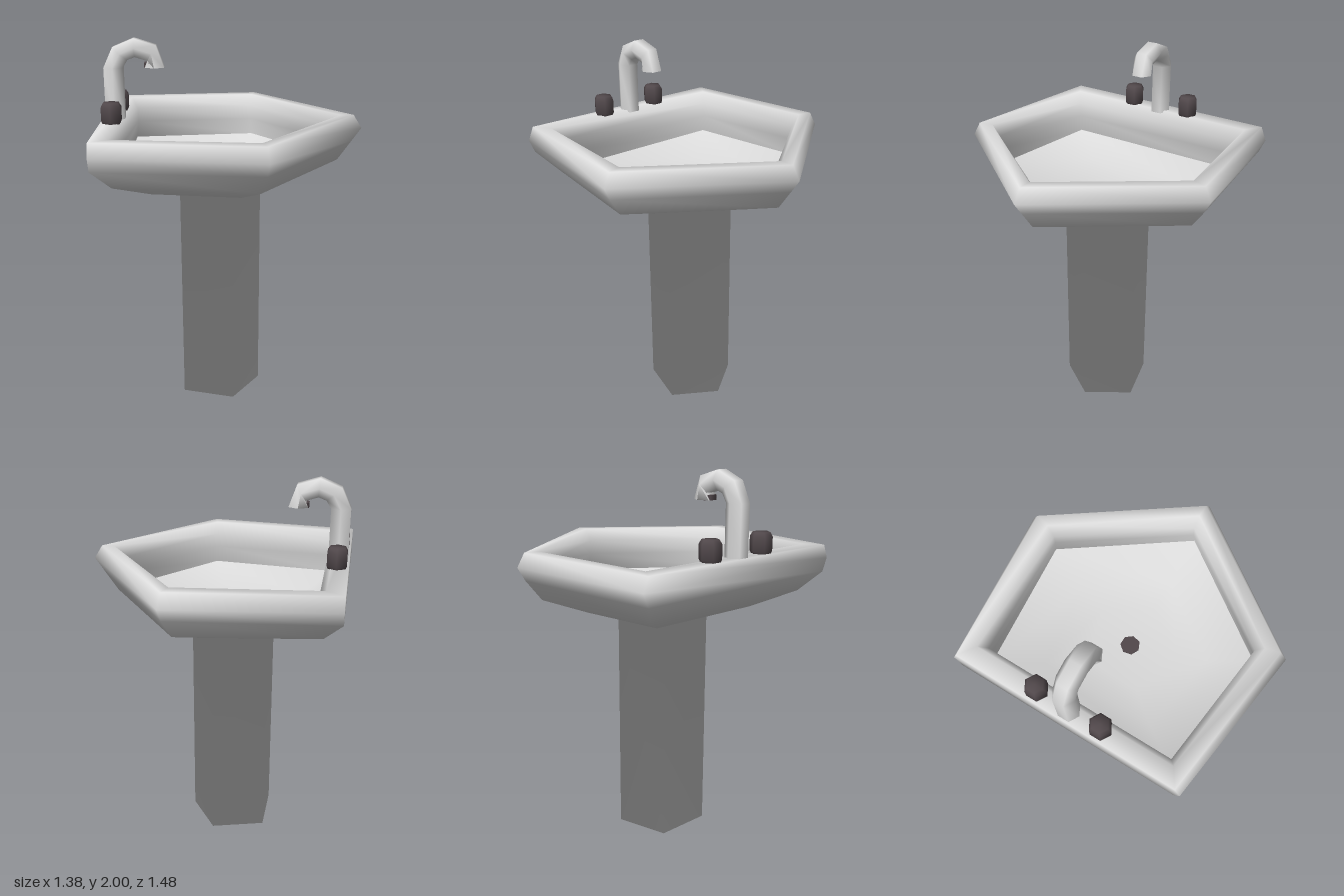
import * as THREE from 'three';
import { toCreasedNormals } from 'three/addons/utils/BufferGeometryUtils.js';

// Skin a list of equal-length rings, optionally closing either end with a fan.
function loft(rings, capStart = false, capEnd = false) {
  const n = rings[0].length;
  const pos = rings.flat(2);
  const index = [];
  for (let i = 0; i < rings.length - 1; i++) {
    for (let j = 0; j < n; j++) {
      const k = (j + 1) % n;
      const a = i * n + j, b = i * n + k, c = b + n, d = a + n;
      index.push(a, d, c, a, c, b);
    }
  }
  const cap = (ring, base, flip) => {
    const centre = pos.length / 3;
    for (let axis = 0; axis < 3; axis++) pos.push(ring.reduce((s, p) => s + p[axis], 0) / n);
    for (let j = 0; j < n; j++) {
      const a = base + j, b = base + (j + 1) % n;
      if (flip) index.push(centre, a, b);
      else index.push(centre, b, a);
    }
  };
  if (capStart) cap(rings[0], 0, true);
  if (capEnd) cap(rings[rings.length - 1], (rings.length - 1) * n, false);
  const g = new THREE.BufferGeometry();
  g.setAttribute('position', new THREE.Float32BufferAttribute(pos, 3));
  g.setIndex(index);
  return toCreasedNormals(g, 1.62);
}

// Mirrored five-sided ring: front tip, side corners, back corners.
const pentagon = ([y, tipX, sideX, sideZ, backX, backZ]) => [
  [tipX, y, 0], [sideX, y, sideZ], [backX, y, backZ], [backX, y, -backZ], [sideX, y, -sideZ],
];

export function createModel() {
  const model = new THREE.Group();
  const ceramic = new THREE.MeshStandardMaterial({ color: 0xdcdcdc });
  ceramic.name = 'white ceramic';
  const dark = new THREE.MeshStandardMaterial({ color: 0x51484b });
  dark.name = 'dark metal';

  const add = (name, geometry, material) => {
    const mesh = new THREE.Mesh(geometry, material);
    mesh.name = name;
    model.add(mesh);
    return mesh;
  };

  // Pedestal flowing into the underside, over the rounded rim and down its inner wall
  const body = [
    [0, 0.145, -0.01, 0.231, -0.29, 0.15],
    [1.23, 0.145, -0.01, 0.231, -0.29, 0.15],
    [1.255, 0.32, 0.03, 0.40, -0.43, 0.33],
    [1.345, 0.565, 0.11, 0.63, -0.60, 0.52],
    [1.45, 0.64, 0.14, 0.705, -0.69, 0.61],
    [1.52, 0.69, 0.15, 0.742, -0.69, 0.64],
    [1.592, 0.645, 0.14, 0.705, -0.69, 0.61],
    [1.592, 0.575, 0.12, 0.63, -0.60, 0.55],
    [1.53, 0.53, 0.11, 0.59, -0.565, 0.52],
    [1.45, 0.535, 0.115, 0.595, -0.565, 0.525],
    [1.355, 0.555, 0.12, 0.605, -0.575, 0.525],
  ];
  add('pedestalAndRim', loft(body.map(pentagon), true), ceramic);

  // Bowl floor, a thin shell just above the underside
  const bowl = [
    [1.355, 0.56, 0.12, 0.61, -0.58, 0.525],
    [1.262, 0.31, 0.03, 0.39, -0.42, 0.32],
    [1.236, 0.145, -0.01, 0.231, -0.29, 0.15],
  ];
  add('bowl', loft(bowl.map(pentagon), false, true), ceramic);

  // Drain
  const drain = add('drain', new THREE.CylinderGeometry(0.052, 0.052, 0.008, 7), dark);
  drain.position.set(-0.1, 1.239, 0);

  // Spout: six-sided rings between outer and inner bend points [x, y]
  const bend = [
    [[-0.68, 1.58], [-0.58, 1.58]],
    [[-0.68, 1.85], [-0.58, 1.85]],
    [[-0.63, 1.955], [-0.555, 1.89]],
    [[-0.52, 2.0], [-0.515, 1.905]],
    [[-0.405, 1.965], [-0.45, 1.885]],
    [[-0.365, 1.85], [-0.465, 1.85]],
  ];
  const spoutRings = bend.map(([o, i]) => Array.from({ length: 6 }, (_, k) => {
    const a = Math.PI / 6 + k * Math.PI / 3;
    const t = Math.cos(a) / Math.cos(Math.PI / 6) / 2;
    return [(o[0] + i[0]) / 2 + (o[0] - i[0]) * t, (o[1] + i[1]) / 2 + (o[1] - i[1]) * t, -0.058 * Math.sin(a)];
  }));
  add('spout', loft(spoutRings, false, true), ceramic);
  const outlet = add('spoutOutlet', new THREE.CylinderGeometry(0.042, 0.042, 0.026, 6), dark);
  outlet.position.set(-0.432, 1.862, 0);

  // Tap knobs
  const knob = [[0.05, 0], [0.057, 0.015], [0.057, 0.085], [0.044, 0.107], [0, 0.107]]
    .map(([r, y]) => new THREE.Vector2(r, y));
  for (const side of [1, -1]) {
    const tap = add(side > 0 ? 'frontTapKnob' : 'backTapKnob',
      toCreasedNormals(new THREE.LatheGeometry(knob, 6), 1.4), dark);
    tap.position.set(-0.63, 1.59, side * 0.177);
  }

  return model;
}
